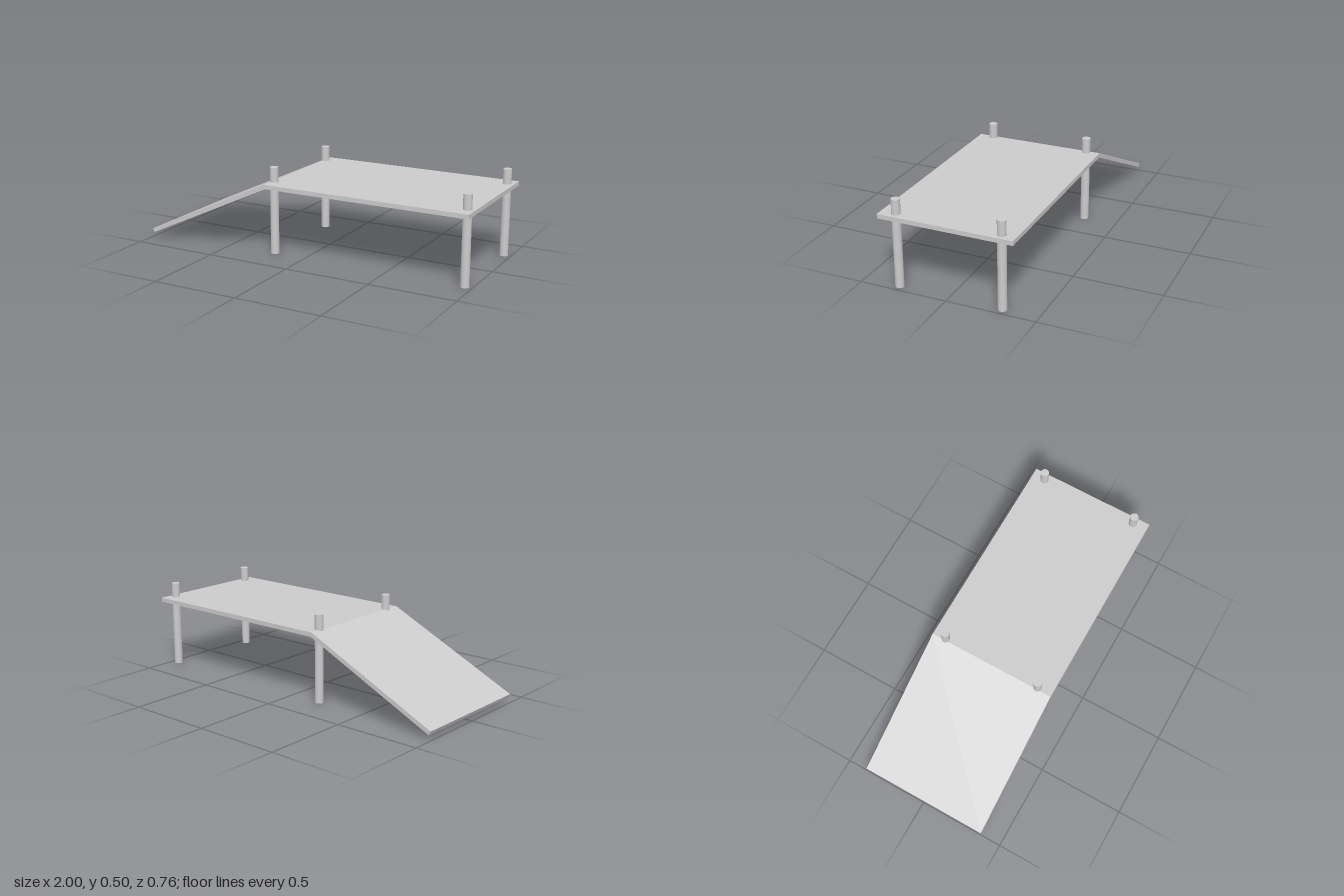
import * as THREE from 'three';

export function createModel() {
  const group = new THREE.Group();
  const material = new THREE.MeshStandardMaterial({ color: 0xcccccc });
  const width = 0.756, thickness = 0.025;
  const hingeX = -0.21, deckTop = 0.419;

  function add(name, geometry, x, y, z) {
    const mesh = new THREE.Mesh(geometry, material);
    mesh.name = name;
    mesh.position.set(x, y, z);
    group.add(mesh);
    return mesh;
  }

  // Level deck
  const deckLength = 1 - hingeX;
  add('deck', new THREE.BoxGeometry(deckLength, thickness, width),
    hingeX + deckLength / 2, deckTop - thickness / 2, 0);

  // Ramp hanging from the top edge of the deck down to the ground end
  const drop = 0.369, run = hingeX + 1;
  const rampGeometry = new THREE.BoxGeometry(Math.hypot(run, drop), thickness, width);
  rampGeometry.translate(-Math.hypot(run, drop) / 2, -thickness / 2, 0);
  add('ramp', rampGeometry, hingeX, deckTop, 0).rotation.z = Math.atan2(drop, run);

  // Four round posts passing through the deck
  const postHeight = 0.504;
  const postGeometry = new THREE.CylinderGeometry(0.024, 0.024, postHeight, 32);
  for (const x of [-0.197, 0.958]) {
    for (const z of [0.29, -0.3]) add('post', postGeometry, x, postHeight / 2, z);
  }

  return group;
}
